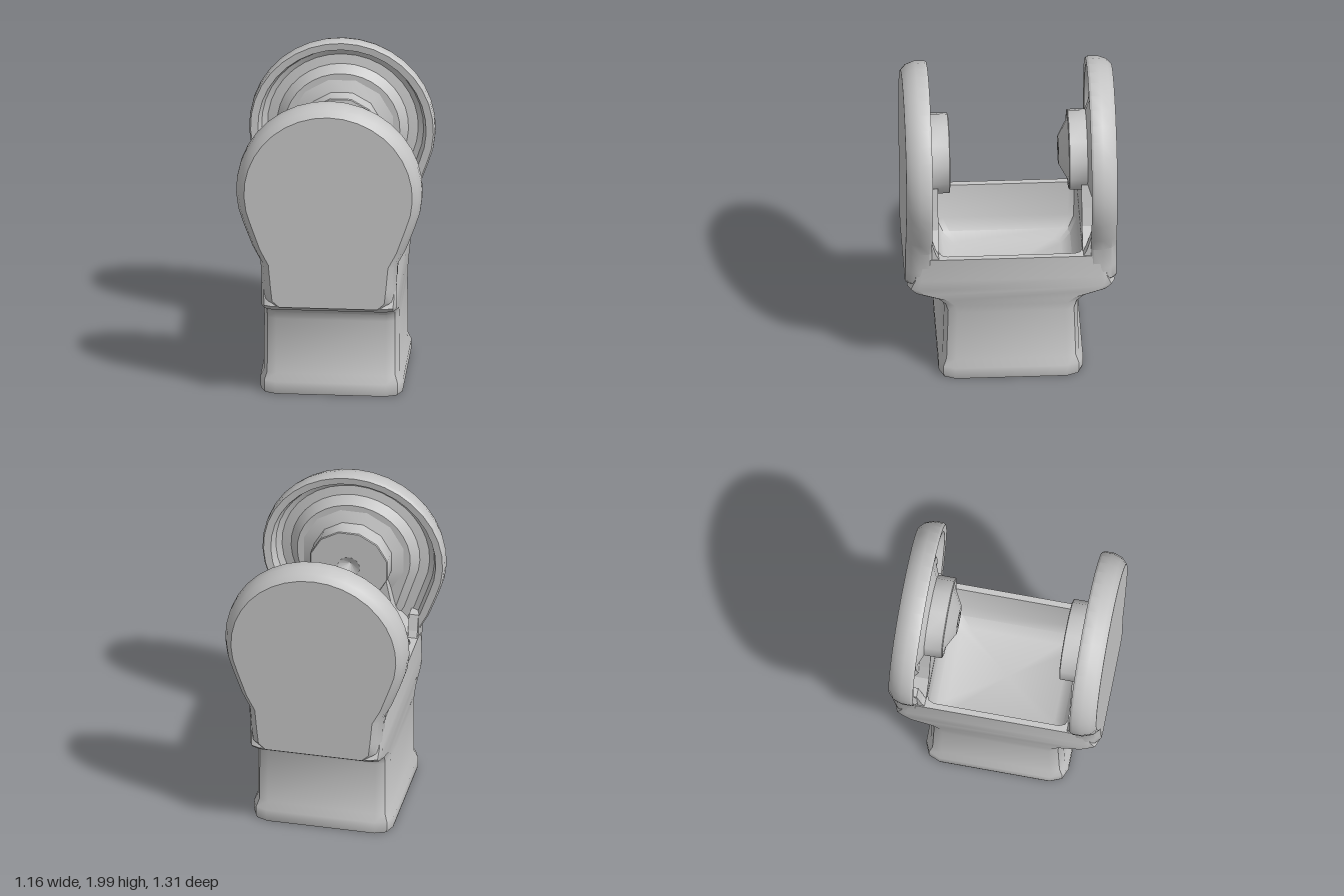
import * as THREE from 'three';
import { toCreasedNormals } from 'three/addons/utils/BufferGeometryUtils.js';

const HUB_Y = 1.42;
const CREASE = 0.6;

// Skin a list of closed loops and close both ends with fans to the given centres
function loft(loops, startCentre, endCentre) {
  const pos = [];
  const n = loops[0].length;
  const first = loops[0], last = loops[loops.length - 1];
  for (let j = 0; j < n; j++) {
    const k = (j + 1) % n;
    for (let i = 0; i < loops.length - 1; i++) {
      const a = loops[i][j], b = loops[i][k], c = loops[i + 1][k], d = loops[i + 1][j];
      pos.push(...a, ...b, ...c, ...a, ...c, ...d);
    }
    pos.push(...startCentre, ...first[k], ...first[j]);
    pos.push(...endCentre, ...last[j], ...last[k]);
  }
  const g = new THREE.BufferGeometry();
  g.setAttribute('position', new THREE.Float32BufferAttribute(pos, 3));
  return toCreasedNormals(g, CREASE);
}

// Horizontal rectangle with softly cut corners
function rectLoop(y, hx, hz, r) {
  const pts = [];
  [[1, 1], [-1, 1], [-1, -1], [1, -1]].forEach(([sx, sz], q) => {
    for (let s = 0; s <= 2; s++) {
      const t = (q + s / 2) * Math.PI / 2;
      pts.push([sx * (hx - r) + r * Math.cos(t), y, -(sz * (hz - r) + r * Math.sin(t))]);
    }
  });
  return pts;
}

// Upright keyhole outline: round head flowing into a straight neck, inset by d
function plateLoop(d, z) {
  const pts = [];
  const r = 0.58 - d, a = 0.4, steps = 22;
  for (let i = 0; i <= steps; i++) {
    const t = -a + (Math.PI + 2 * a) * i / steps;
    pts.push([r * Math.cos(t), HUB_Y + r * Math.sin(t), z]);
  }
  const neck = [
    [0.48 - d, 1.05], [0.428 - d, 0.95], [0.42 - 1.1 * d, 0.8],
    [0.41 - 1.1 * d, 0.71], [0.36 - d, 0.665 + 0.1 * d],
  ];
  neck.forEach(([x, y]) => pts.push([-x, y, z]));
  neck.reverse().forEach(([x, y]) => pts.push([x, y, z]));
  return pts;
}

export function createModel() {
  const model = new THREE.Group();
  model.name = 'forkBracket';
  const grey = new THREE.MeshStandardMaterial({ color: 0xc6c6c6 });
  grey.name = 'plainGrey';

  const add = (parent, name, geometry) => {
    const mesh = new THREE.Mesh(geometry, grey);
    mesh.name = name;
    parent.add(mesh);
  };

  // Body: flared foot, straight block, shoulders and a hollow trough
  const body = [
    [0.01, 0.44, 0.445, 0.1], [0.03, 0.445, 0.45, 0.1], [0.09, 0.445, 0.45, 0.1],
    [0.14, 0.422, 0.425, 0.08], [0.5, 0.422, 0.415, 0.08], [0.55, 0.422, 0.43, 0.08],
    [0.59, 0.422, 0.475, 0.08], [0.635, 0.422, 0.605, 0.07], [0.67, 0.422, 0.645, 0.07],
    [0.74, 0.422, 0.61, 0.05], [0.9, 0.422, 0.6, 0.05],
    [0.9, 0.385, 0.445, 0.05], [0.67, 0.365, 0.44, 0.05], [0.59, 0.33, 0.4, 0.05],
    [0.55, 0.27, 0.34, 0.05],
  ].map(p => rectLoop(...p));
  add(model, 'body', loft(body, [0, 0.01, 0], [0, 0.55, 0]));

  // Two facing cheeks, each a dished plate with a hub
  for (const side of ['front', 'back']) {
    const cheek = new THREE.Group();
    cheek.name = side + 'Cheek';
    if (side === 'back') cheek.rotation.y = Math.PI;
    model.add(cheek);

    // Plate: raised middle, sunken ring, raised rim and rounded outer edge
    const plate = [
      [0.22, 0.515], [0.17, 0.565], [0.11, 0.575], [0.075, 0.555], [0.055, 0.5],
      [0.01, 0.495], [0, 0.51], [0, 0.57], [0.02, 0.625], [0.055, 0.657],
    ].map(p => plateLoop(...p));
    add(cheek, 'plate', loft(plate, [0, HUB_Y, 0.515], [0, HUB_Y, 0.657]));

    // Hub: sloped collar, boss, and a dent or a dented nub in the centre
    const centre = side === 'front'
      ? [[0.07, -0.37], [0, -0.42]]
      : [[0.19, -0.365], [0.09, -0.31], [0.05, -0.31], [0, -0.36]];
    const profile = [
      [0.34, -0.52], [0.255, -0.485], [0.255, -0.375], [0.25, -0.37], ...centre,
    ].map(([r, h]) => new THREE.Vector2(r, h));
    const hub = new THREE.LatheGeometry(profile, 12);
    hub.rotateY(Math.PI / 12);
    hub.rotateX(-Math.PI / 2);
    hub.translate(0, HUB_Y, 0);
    add(cheek, 'hub', toCreasedNormals(hub, CREASE));

    // Pedestal rising from the trough wall to the hub
    const web = new THREE.Shape([
      [-0.37, 0.85], [0.37, 0.85], [0.36, 0.93], [0.28, 1.03], [0.25, 1.15], [0.22, 1.3],
      [-0.22, 1.3], [-0.25, 1.15], [-0.28, 1.03], [-0.36, 0.93],
    ].map(p => new THREE.Vector2(...p)));
    const pedestal = new THREE.ExtrudeGeometry(web, { depth: 0.14, bevelEnabled: false });
    pedestal.translate(0, 0, 0.447);
    add(cheek, 'pedestal', pedestal);

    // Gussets between the side walls and the rim
    for (const s of [-1, 1]) {
      const wedge = new THREE.Shape([
        [0.44, 0.88], [0.58, 0.88], [0.58, 1.04], [0.5, 1.04], [0.47, 0.94],
      ].map(([z, y]) => new THREE.Vector2(-z, y)));
      const gusset = new THREE.ExtrudeGeometry(wedge, { depth: 0.06, bevelEnabled: false });
      gusset.rotateY(Math.PI / 2);
      gusset.translate(s * 0.385 - 0.03, 0, 0);
      add(cheek, 'gusset', gusset);
    }
  }
  return model;
}
